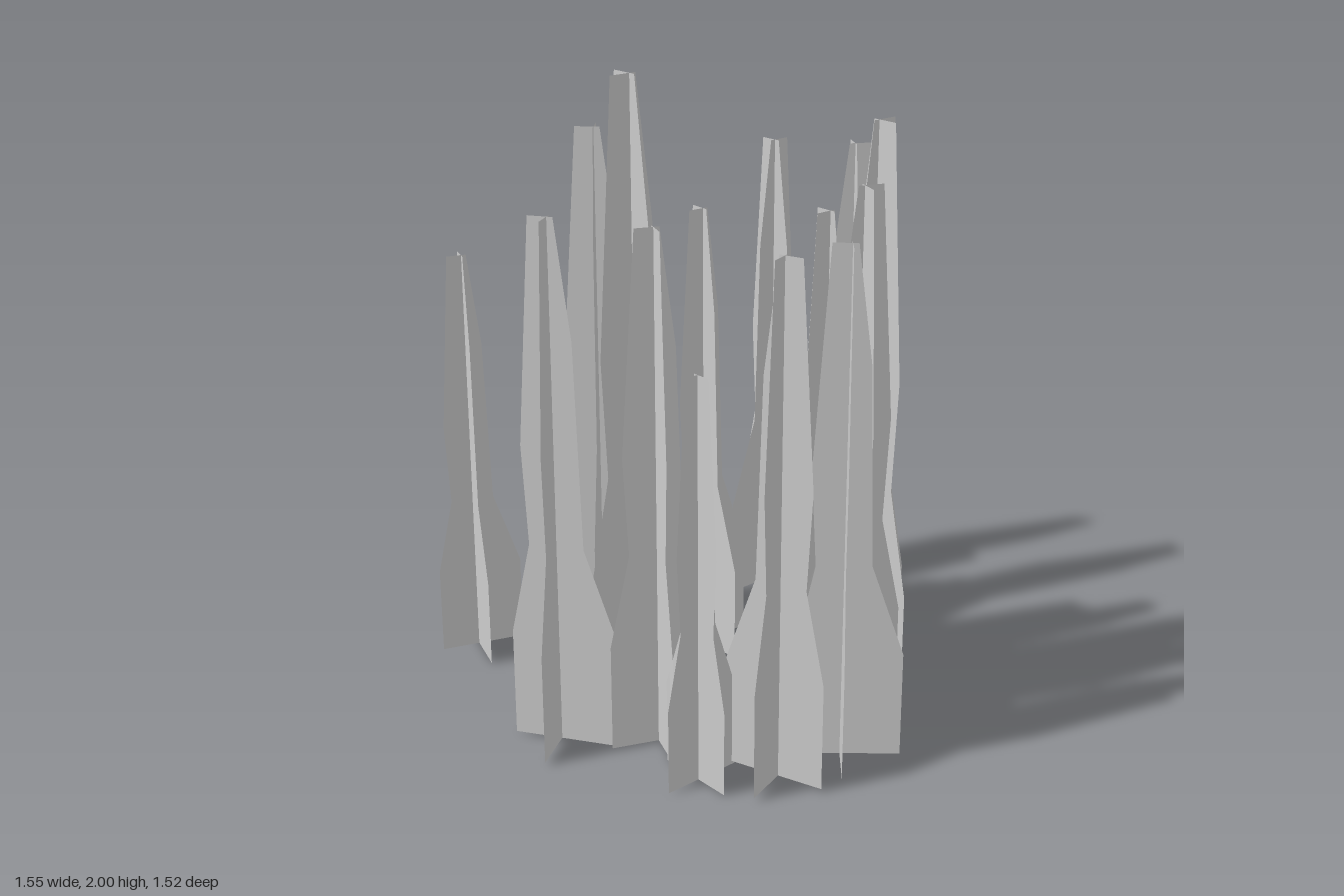
import * as THREE from 'three';

// Each tree: x, z of the trunk line, height, turn in degrees, height of the foot
const TREES = [
  [-0.66, 0.465, 1.36, -19, 0],
  [-0.487, 0.065, 1.74, -45, 0.01],
  [-0.375, -0.61, 1.62, -89, 0.01],
  [-0.165, -0.11, 1.51, -4, 0.01],
  [-0.015, 0.295, 2.0, 0, 0.01],
  [0.035, 0.635, 1.65, 33, 0.01],
  [0.24, 0.422, 1.625, 68, 0.01],
  [0.43, -0.265, 1.86, 180, 0.01],
  [0.53, -0.11, 1.71, 159, 0.01],
  [0.625, 0.285, 1.6, 108, 0.01],
  [0.475, 0.465, 1.265, 90, 0],
  [0.0, -0.61, 1.67, -120, 0.01],
  [0.655, 0.06, 1.6, 48, 0.01],
  [0.255, -0.25, 1.56, 0, 0.01],
];

// Uneven card outline for a tree of height 1: right side up, left side down
const OUTLINE = [
  [0.113, 0], [0.113, 0.21], [0.051, 0.39], [0.039, 0.78], [0.011, 1],
  [-0.035, 1], [-0.062, 0.58], [-0.052, 0.39], [-0.09, 0.21], [-0.09, 0],
];

export function createModel() {
  const model = new THREE.Group();
  model.name = 'treeCluster';

  const material = new THREE.MeshStandardMaterial({
    color: 0xcccccc, side: THREE.DoubleSide, flatShading: true,
  });
  const outline = new THREE.Shape(OUTLINE.map(([x, y]) => new THREE.Vector2(x, y)));
  const card = new THREE.ShapeGeometry(outline);

  TREES.forEach(([x, z, height, turn, foot], i) => {
    const tree = new THREE.Group();
    tree.name = `tree${i + 1}`;

    // Two upright cards crossing at the trunk line
    for (let k = 0; k < 2; k++) {
      const mesh = new THREE.Mesh(card, material);
      mesh.name = k ? 'crossCard' : 'mainCard';
      mesh.rotation.y = k * Math.PI / 2;
      tree.add(mesh);
    }

    tree.position.set(x, foot, z);
    tree.rotation.y = THREE.MathUtils.degToRad(turn);
    tree.scale.set(height, height - foot, height);
    model.add(tree);
  });
  return model;
}
